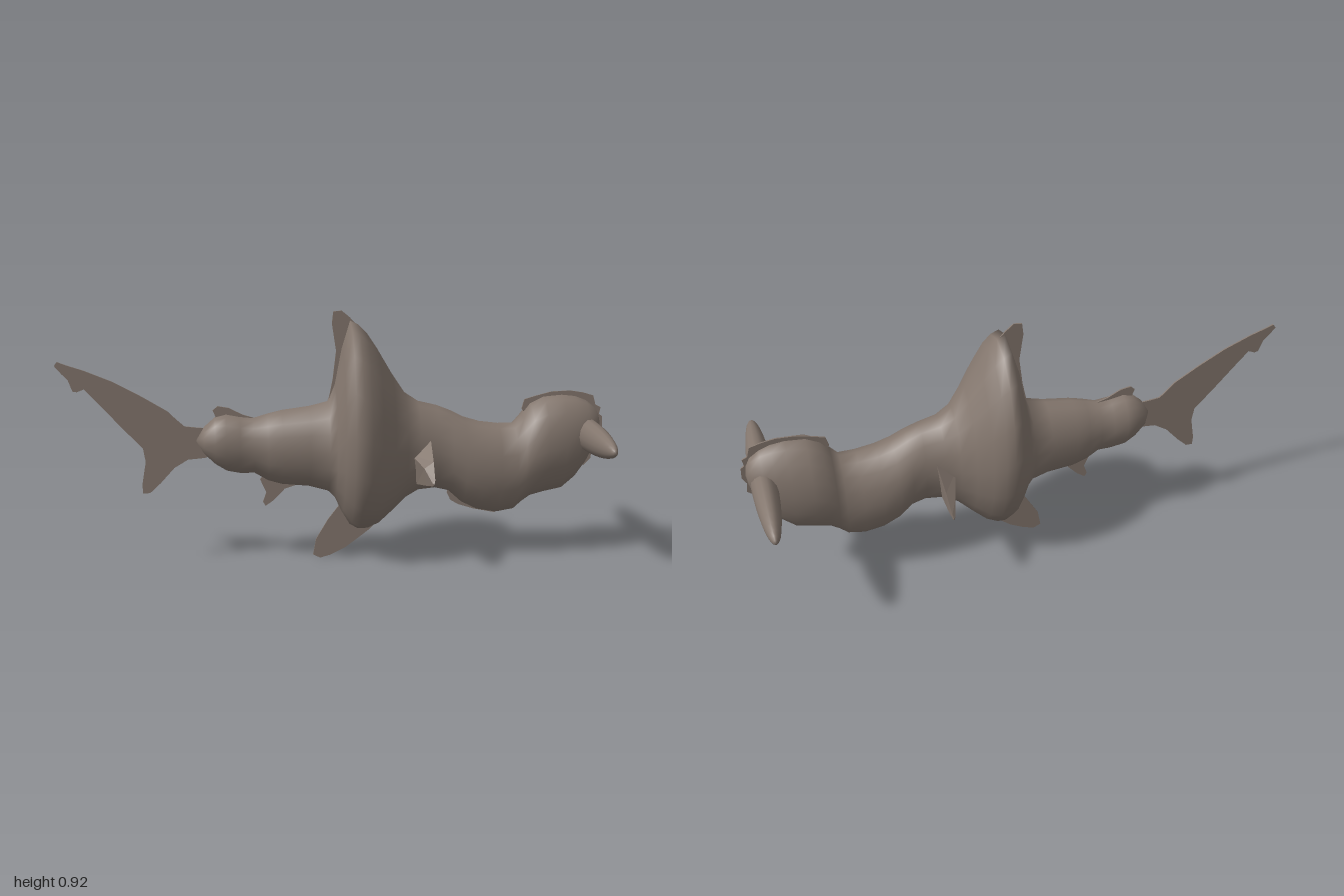
import * as THREE from 'three';

const skin = new THREE.MeshStandardMaterial({ color: 0x83766d });
skin.name = 'greyBrownSkin';

// Closed surface through rings of [x, y, z] points, ending in the first and last point
function loft(start, rings, end) {
  const n = rings[0].length;
  const pts = [start, ...rings.flat(), end];
  const last = pts.length - 1;
  const index = [];
  for (let j = 0; j < n; j++) {
    const k = (j + 1) % n;
    index.push(0, 1 + k, 1 + j);
    for (let i = 0; i < rings.length - 1; i++) {
      const a = 1 + i * n, b = a + n;
      index.push(a + j, a + k, b + j, a + k, b + k, b + j);
    }
    const e = 1 + (rings.length - 1) * n;
    index.push(e + j, e + k, last);
  }
  const g = new THREE.BufferGeometry();
  g.setAttribute('position', new THREE.Float32BufferAttribute(pts.flat(), 3));
  g.setIndex(index);
  g.computeVertexNormals();
  return g;
}

function add(group, name, geometry) {
  const mesh = new THREE.Mesh(geometry, skin);
  mesh.name = name;
  group.add(mesh);
  return mesh;
}

// Thin upright plate on the centre plane
function plate(points) {
  const shape = new THREE.Shape(points.map(([x, y]) => new THREE.Vector2(x, y)));
  const depth = 0.006;
  return new THREE.ExtrudeGeometry(shape, { depth, bevelEnabled: false }).translate(0, 0, -depth / 2);
}

export function createModel() {
  const model = new THREE.Group();
  model.name = 'hammerheadShark';

  // Body sections: x, top, bottom, half width
  const sections = [
    [-0.48, 0.51, 0.41, 0.05], [-0.44, 0.545, 0.37, 0.07], [-0.40, 0.555, 0.345, 0.08],
    [-0.35, 0.545, 0.335, 0.072], [-0.30, 0.54, 0.335, 0.072], [-0.25, 0.555, 0.305, 0.085],
    [-0.20, 0.567, 0.29, 0.095], [-0.10, 0.58, 0.28, 0.102], [-0.03, 0.597, 0.26, 0.115],
    [-0.005, 0.66, 0.235, 0.145], [0.02, 0.79, 0.18, 0.185], [0.05, 0.89, 0.13, 0.222],
    [0.08, 0.875, 0.112, 0.228], [0.11, 0.845, 0.112, 0.222], [0.15, 0.785, 0.13, 0.2],
    [0.20, 0.70, 0.175, 0.16], [0.25, 0.625, 0.225, 0.127], [0.30, 0.592, 0.255, 0.11],
    [0.37, 0.575, 0.262, 0.1], [0.42, 0.555, 0.25, 0.108], [0.47, 0.53, 0.205, 0.115],
    [0.53, 0.512, 0.175, 0.115], [0.60, 0.503, 0.162, 0.11], [0.66, 0.503, 0.172, 0.104],
    [0.69, 0.535, 0.2, 0.11], [0.72, 0.575, 0.222, 0.118], [0.77, 0.6, 0.235, 0.119],
    [0.84, 0.606, 0.248, 0.108], [0.89, 0.6, 0.29, 0.095], [0.93, 0.585, 0.345, 0.08],
    [0.965, 0.56, 0.41, 0.058], [0.98, 0.53, 0.45, 0.03],
  ];
  const sides = 16;
  const rings = sections.map(([x, top, bottom, w]) => Array.from({ length: sides }, (_, j) => {
    const a = (j / sides) * Math.PI * 2;
    return [x, (top + bottom) / 2 + (top - bottom) / 2 * Math.cos(a), w * Math.sin(a)];
  }));
  add(model, 'body', loft([-0.51, 0.46, 0], rings, [0.986, 0.49, 0]));

  // Cross-wise hammer of the head
  const hammer = new THREE.SphereGeometry(1, 14, 20).rotateX(Math.PI / 2).scale(0.046, 0.061, 0.362);
  add(model, 'hammerHead', hammer).position.set(0.93, 0.463, 0);

  // Small faceted side fins
  const finRings = [
    [[0.265, 0.41, 0.09], [0.286, 0.3, 0.09], [0.318, 0.305, 0.09], [0.335, 0.468, 0.09]],
    [[0.294, 0.385, 0.2], [0.302, 0.322, 0.2], [0.32, 0.322, 0.2], [0.327, 0.408, 0.2]],
    [[0.312, 0.348, 0.262], [0.314, 0.336, 0.262], [0.32, 0.336, 0.262], [0.322, 0.358, 0.262]],
  ];
  const fin = loft([0.3, 0.38, 0.08], finRings, [0.318, 0.345, 0.27]).toNonIndexed();
  fin.computeVertexNormals();
  add(model, 'leftSideFin', fin);
  add(model, 'rightSideFin', fin).scale.z = -1;

  // Thin centre-line fins and profile edges
  const plates = {
    tailFin: [[-0.4, 0.5], [-0.5, 0.507], [-0.55, 0.513], [-0.58, 0.54], [-0.61, 0.57], [-0.7, 0.625],
      [-0.8, 0.68], [-0.9, 0.722], [-0.96, 0.742], [-0.99, 0.754], [-1, 0.74], [-0.975, 0.71], [-0.955, 0.69],
      [-0.94, 0.648], [-0.925, 0.645], [-0.9, 0.655], [-0.85, 0.6], [-0.77, 0.51], [-0.7, 0.435],
      [-0.692, 0.385], [-0.707, 0.3], [-0.705, 0.268], [-0.68, 0.268], [-0.64, 0.305], [-0.59, 0.36],
      [-0.54, 0.39], [-0.48, 0.395], [-0.4, 0.42]],
    dorsalFinTip: [[0.1, 0.6], [0.1, 0.845], [0.05, 0.9], [0.02, 0.925], [-0.01, 0.922], [-0.015, 0.88],
      [0, 0.78], [-0.012, 0.68], [-0.03, 0.59]],
    rearBackFin: [[-0.3, 0.5], [-0.3, 0.54], [-0.34, 0.552], [-0.39, 0.578], [-0.43, 0.585], [-0.447, 0.57],
      [-0.435, 0.54], [-0.465, 0.52], [-0.4, 0.48]],
    rearBellyFin: [[-0.15, 0.32], [-0.15, 0.285], [-0.19, 0.272], [-0.23, 0.23], [-0.262, 0.208],
      [-0.27, 0.225], [-0.258, 0.26], [-0.28, 0.31], [-0.24, 0.36]],
    lowerFin: [[0.22, 0.21], [0.125, 0.108], [0.035, 0.04], [-0.02, 0.013], [-0.06, 0.002], [-0.086, 0.015],
      [-0.075, 0.075], [-0.03, 0.15], [0.02, 0.215], [0.08, 0.26]],
    chinEdge: [[0.6, 0.2], [0.6, 0.16], [0.52, 0.176], [0.46, 0.195], [0.43, 0.212], [0.416, 0.24], [0.42, 0.27], [0.5, 0.28]],
    headEdge: [[0.72, 0.52], [0.69, 0.555], [0.7, 0.59], [0.74, 0.602], [0.8, 0.617], [0.87, 0.62], [0.92, 0.612],
      [0.96, 0.6], [0.97, 0.565], [0.99, 0.555], [0.985, 0.53], [0.998, 0.52], [1, 0.48], [0.985, 0.455],
      [0.99, 0.42], [0.965, 0.4], [0.96, 0.36], [0.935, 0.335], [0.88, 0.36]],
  };
  for (const [name, points] of Object.entries(plates)) add(model, name, plate(points));

  return model;
}
